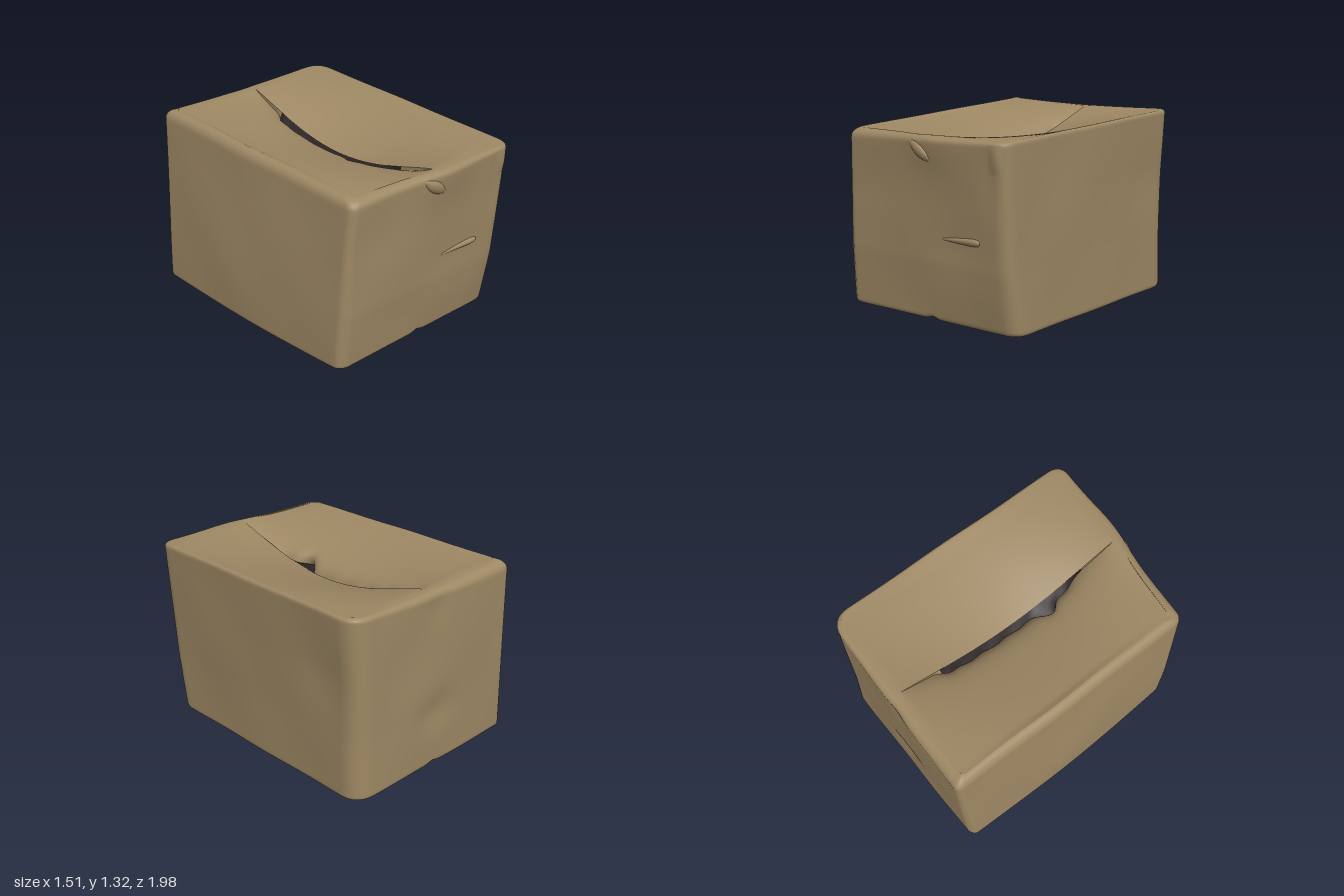
import * as THREE from 'three';

const V = (x, y, z) => new THREE.Vector3(x, y, z);
const { lerp, smoothstep } = THREE.MathUtils;
const bell = (d, r) => Math.exp(-(d * d) / (r * r));

// Smooth grid surface from f(u, v); outward side is du x dv unless flipped
function surf(nu, nv, f, flip = false) {
  const pos = [], idx = [];
  for (let j = 0; j <= nv; j++)
    for (let i = 0; i <= nu; i++) pos.push(...f(i / nu, j / nv).toArray());
  for (let j = 0; j < nv; j++)
    for (let i = 0; i < nu; i++) {
      const a = j * (nu + 1) + i, b = a + 1, c = a + nu + 1, d = c + 1;
      if (flip) idx.push(a, d, b, a, c, d);
      else idx.push(a, b, d, a, d, c);
    }
  const g = new THREE.BufferGeometry();
  g.setAttribute('position', new THREE.Float32BufferAttribute(pos, 3));
  g.setIndex(idx);
  g.computeVertexNormals();
  return g;
}

// Corner positions [x, z] at four heights, order: front -x, front +x, back +x, back -x
const LEVELS = [
  [[-0.71, 0.83], [0.705, 0.84], [0.72, -0.96], [-0.72, -0.97]],
  [[-0.70, 0.86], [0.70, 0.92], [0.72, -0.95], [-0.70, -0.98]],
  [[-0.69, 0.87], [0.705, 0.955], [0.73, -0.95], [-0.685, -0.99]],
  [[-0.67, 0.89], [0.71, 0.99], [0.755, -0.945], [-0.67, -1.00]],
];
const BOTTOM = [0.035, 0.018, 0.005, 0.02], TOP = [1.255, 1.265, 1.315, 1.32];
const ROUND = [0.06, 0.11, 0.15, 0.05];

// Dents: wall, position along the wall, height, radii, outward push
const DENTS = [
  [0, 0.12, 1.25, 0.25, 0.2, 0.025], [0, 0.3, 0.52, 0.3, 0.2, -0.012],
  [0, -0.45, 0.95, 0.25, 0.2, -0.012], [0, 0.6, 1.0, 0.08, 0.2, -0.015],
  [0, 0.55, 0.25, 0.15, 0.2, 0.012], [2, 0.0, 0.42, 0.16, 0.13, -0.022],
  [2, 0.35, 0.85, 0.25, 0.25, -0.012], [2, 0.1, 0.6, 0.7, 0.6, 0.015],
  [2, 0.0, 1.2, 0.1, 0.12, -0.012], [1, -0.7, 0.8, 0.25, 0.25, -0.02],
  [1, 0.2, 0.7, 0.5, 0.4, 0.01], [3, 0.0, 0.35, 1.2, 0.65, 0.048],
];
const OUT = [[0, 1], [1, 0], [0, -1], [-1, 0]];

// Point on the wall shell: s = 0..4 around (front, +x, back, -x), v = 0..1 up
function shell(s, v) {
  s = ((s % 4) + 4) % 4;
  const i = Math.floor(s), f = s - i;
  const k = Math.min(2, Math.floor(v * 3)), t = v * 3 - k;
  const c = LEVELS[k].map((p, n) => new THREE.Vector2(
    lerp(p[0], LEVELS[k + 1][n][0], t), lerp(p[1], LEVELS[k + 1][n][1], t)));
  const at = n => c[(n + 4) % 4];
  // start of the rounding at corner n on the side towards corner m
  const near = (n, m) => at(n).clone().add(at(m).clone().sub(at(n)).setLength(ROUND[n % 4]));
  const corner = (n, q) => new THREE.QuadraticBezierCurve(
    near(n, n + 3), at(n), near(n, n + 1)).getPoint(q);
  let p;
  if (f < 0.1) p = corner(i, 0.5 + f * 5);
  else if (f > 0.9) p = corner(i + 1, (f - 0.9) * 5);
  else p = near(i, i + 1).lerp(near(i + 1, i), (f - 0.1) / 0.8);
  let y = lerp(lerp(BOTTOM[i], BOTTOM[(i + 1) % 4], f), lerp(TOP[i], TOP[(i + 1) % 4], f), v);
  if (i === 2) y -= 0.018 * v * Math.sin(Math.PI * f);
  // notch where the bottom flaps meet
  y += 0.018 * bell(p.x, 0.04) * (1 - v) ** 20;
  // rounded top and bottom edges, softer on the -x side of the top
  const rim = v > 0.5 ? 0.045 - 0.03 * p.x : 0.03;
  const e = Math.max(0, 1 - Math.min(v, 1 - v) * 1.27 / rim);
  const shrink = 1 - rim * (1 - Math.sqrt(1 - e * e)) / 0.8;
  // crumpling, fading to nothing at the corners
  const along = i % 2 ? p.y : p.x;
  let push = 0.004 * Math.sin(along * 7 + i * 2) * Math.sin(y * 6 + i);
  for (const [w, a, h, ra, rh, amt] of DENTS)
    if (w === i) push += amt * bell(along - a, ra) * bell(y - h, rh);
  push *= Math.sin(Math.PI * f) ** 0.5;
  return V((p.x + OUT[i][0] * push) * shrink, y, (p.y + OUT[i][1] * push) * shrink);
}

// Flap patch from a side wall (u = 0) to the seam (u = 1); w runs back to front
function flap(side, v, kf, kb, bend) {
  const R = s => shell(s, v);
  const outer = w => side < 0 ? R(3 + w) : R(2 - w);
  const front = u => side < 0 ? R(kf * u) : R(1 - (1 - kf) * u);
  const back = u => side < 0 ? R(3 - kb * u) : R(2 + (1 - kb) * u);
  const seam = w => back(1).lerp(front(1), w);
  return (u, w) => {
    const ruled = outer(w).lerp(seam(w), u).add(back(u).lerp(front(u), w));
    const corners = back(0).lerp(back(1), u).lerp(front(0).lerp(front(1), u), w);
    return bend(ruled.sub(corners), u, w);
  };
}

export function createModel() {
  const group = new THREE.Group();
  const cardboard = new THREE.MeshStandardMaterial({ color: 0x9e8864 });
  const darkGap = new THREE.MeshStandardMaterial({ color: 0x2b2223 });
  cardboard.side = darkGap.side = THREE.DoubleSide;
  const add = (name, geo, mat = cardboard) => {
    const m = new THREE.Mesh(geo, mat);
    m.name = name;
    group.add(m);
  };

  // Walls
  const ease = t => (1 - Math.cos(Math.PI * t)) / 2;
  add('walls', surf(320, 48, (u, t) => shell(u * 4, ease(t))));

  // Sagging top flaps: the -x one curls down steeply beside the seam
  const hollow = (z, power) =>
    Math.sin(Math.PI * THREE.MathUtils.clamp((z + 0.87) / 1.75, 0, 1)) ** power;
  const rightTop = flap(1, 1, 0.525, 0.55, (p, u, w) => {
    p.y -= 0.19 * hollow(p.z, 1.1) * u ** 1.5;
    p.y += 0.006 * Math.sin(Math.PI * u) * Math.sin(w * 9) * Math.sin(Math.PI * w);
    return p;
  });
  const leftTop = flap(-1, 1, 0.525, 0.55, (p, u, w) => {
    const gap = 0.042 * smoothstep(p.z, -0.64, -0.5) * (1 - smoothstep(p.z, 0.4, 0.62));
    const ragged = 1 + 0.1 * Math.sin(p.z * 31);
    const tear = 0.085 * bell(p.z - 0.27, 0.065);
    p.y -= hollow(p.z, 0.9) * (0.15 * u ** 1.5 + 0.08 * u ** 12);
    p.y += 0.006 * Math.sin(Math.PI * u) * Math.sin(w * 8 + 1) * Math.sin(Math.PI * w);
    p.x -= (gap * ragged + tear) * u ** 10;
    return p;
  });
  // Bottom flaps, one pushed in behind the other
  const rightBottom = flap(1, 0, 0.5, 0.5, (p, u) => {
    p.y += 0.006 * Math.sin(Math.PI * u);
    return p;
  });
  const leftBottom = flap(-1, 0, 0.5, 0.5, (p, u, w) => {
    const inside = Math.sin(Math.PI * w) ** 0.5 || 0;
    p.y += inside * (0.025 * u ** 2 + 0.015 * bell(u - 0.6, 0.3) * bell(w - 0.35, 0.2));
    p.x -= 0.02 * bell(p.z + 0.15, 0.12) * u ** 8;
    return p;
  });
  const ROWS = 80;
  add('rightTopFlap', surf(40, ROWS, rightTop));
  add('leftTopFlap', surf(40, ROWS, leftTop, true));
  add('rightBottomFlap', surf(40, ROWS, rightBottom, true));
  add('leftBottomFlap', surf(40, ROWS, leftBottom));

  // Seams between the flaps, dark where they gape
  const seam = (name, left, right, from, to, flip) => {
    const part = (r0, r1, label, mat) => add(name + label, surf(4, r1 - r0, (u, v) => {
      const w = lerp(r0, r1, v) / ROWS;
      return left(1, w).lerp(right(1, w), u);
    }, flip), mat);
    part(0, from, 'BackStep', cardboard);
    part(from, to, 'Gap', darkGap);
    part(to, ROWS, 'FrontStep', cardboard);
  };
  seam('topSeam', leftTop, rightTop, 15, 67, true);
  seam('bottomSeam', leftBottom, rightBottom, 33, 40, false);

  // Raised half-round fold on the front wall from a to b, with a width profile
  const ridge = (name, a, b, depth, width) => {
    const dx = b[0] - a[0], dy = b[1] - a[1], len = Math.hypot(dx, dy);
    add(name, surf(24, 12, (u, v) => {
      const r = width(u), across = -r * Math.cos(Math.PI * v);
      const x = lerp(a[0], b[0], u) - across * dy / len;
      const y = lerp(a[1], b[1], u) + across * dx / len;
      const z = shell(0.5 + x / 1.6, y / 1.27).z - 0.006;
      return V(x, y, z + depth * r * Math.sin(Math.PI * v));
    }));
  };
  ridge('frontCrease', [0.1, 0.6], [0.475, 0.615], 1.0,
    u => 0.032 * u ** 0.7 * Math.sqrt(1 - u ** 12));
  ridge('tornTab', [-0.09, 1.225], [0.1, 1.1], 0.7,
    u => 0.042 * Math.max(0, Math.sin(Math.PI * u)) ** 0.7);

  // Folded corner at the front top
  add('cornerFold', surf(8, 8, (u, v) => {
    const p = shell(lerp(0.88, 0.99, u), lerp(0.84, 0.985, v));
    const lift = 0.01 * Math.sin(Math.PI * u) * Math.sin(Math.PI * (0.1 + 0.8 * v));
    return p.add(V(lift * 0.4, 0, lift));
  }));
  return group;
}
